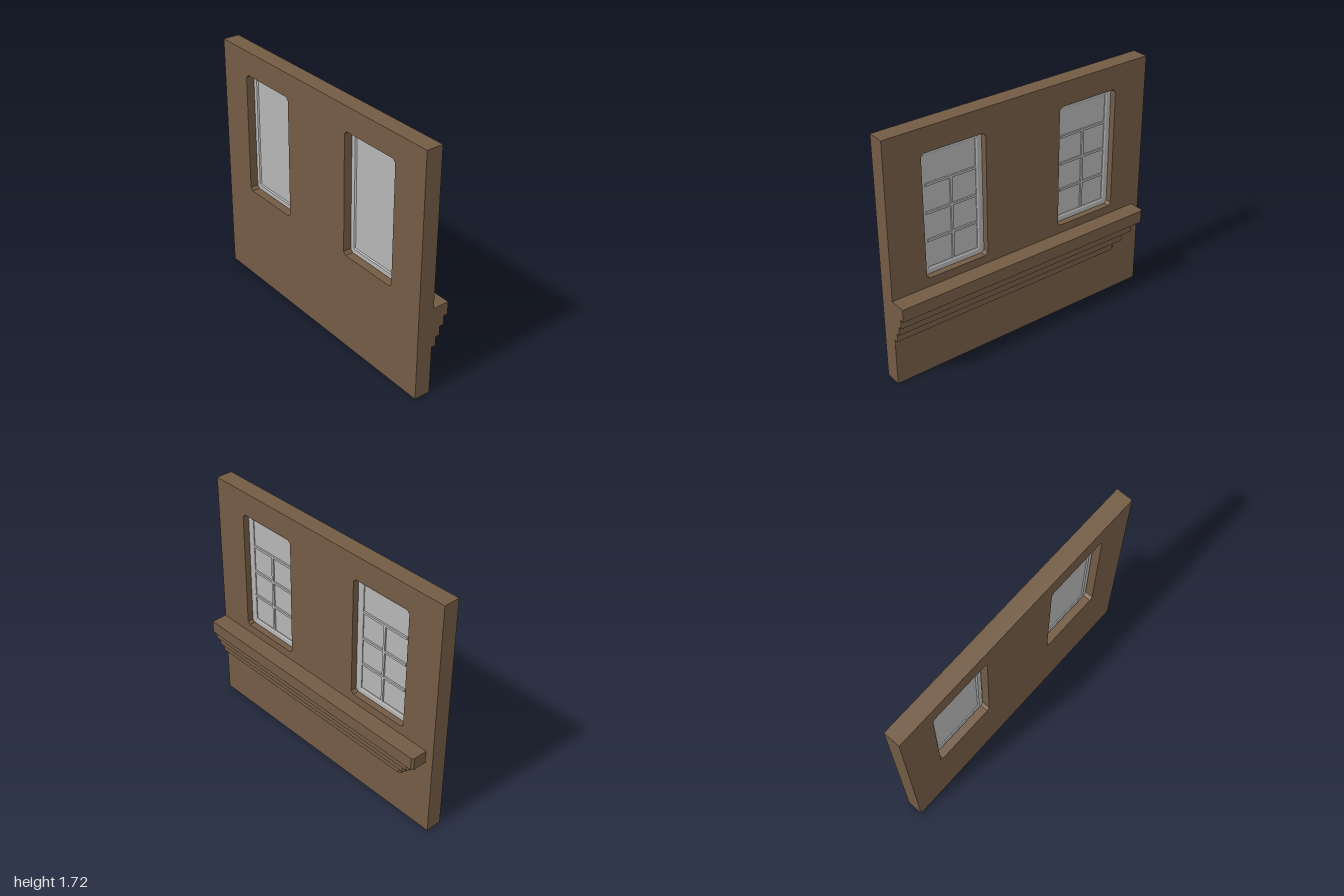
import * as THREE from 'three';

const brown = new THREE.MeshStandardMaterial({ color: 0x725b44 });
brown.name = 'brownWall';
const grey = new THREE.MeshStandardMaterial({ color: 0xb5b5b5 });
grey.name = 'greyWindow';

const DEPTH = 0.115;
const WIN = { x: 0.515, y: 1.12, hw: 0.23, hh: 0.43, chamfer: 0.02 };

// Corners of a chamfered rectangle, counter-clockwise
function chamferedRect(hw, hh, c) {
  return [
    [hw, -hh + c], [hw, hh - c], [hw - c, hh], [-hw + c, hh],
    [-hw, hh - c], [-hw, -hh + c], [-hw + c, -hh], [hw - c, -hh],
  ];
}

function addMesh(parent, name, geometry, material) {
  const mesh = new THREE.Mesh(geometry, material);
  mesh.name = name;
  parent.add(mesh);
  return mesh;
}

function addBox(parent, name, w, h, d, x, y, z) {
  addMesh(parent, name, new THREE.BoxGeometry(w, h, d), grey).position.set(x, y, z);
}

// Rectangular ring swept from a closed profile of [inset, z, corner chamfer]
function ringGeometry(hw, hh, profile) {
  const loops = profile.map(([inset, z, c]) =>
    chamferedRect(hw - inset, hh - inset, c).map(([x, y]) => [x, y, z]));
  const pos = [];
  for (let k = 0; k < loops.length; k++) {
    const p = loops[k], q = loops[(k + 1) % loops.length];
    for (let j = 0; j < 8; j++) {
      const n = (j + 1) % 8;
      pos.push(...p[j], ...p[n], ...q[n], ...p[j], ...q[n], ...q[j]);
    }
  }
  const geo = new THREE.BufferGeometry();
  geo.setAttribute('position', new THREE.Float32BufferAttribute(pos, 3));
  geo.computeVertexNormals();
  return geo;
}

function createWindow(name) {
  const g = new THREE.Group();
  g.name = name;
  const { hw, hh, chamfer } = WIN;
  // Outer frame with a sloped inner lip
  addMesh(g, 'windowFrame', ringGeometry(hw, hh, [
    [0, 0.044, chamfer], [0, 0.058, chamfer], [0.006, 0.062, chamfer],
    [0.036, 0.062, 0.001], [0.046, 0.053, 0.001],
    [0.046, 0.046, 0.001], [0.036, 0.04, 0.001], [0.006, 0.04, chamfer],
  ]), grey);
  // Pane
  const w = 2 * (hw - 0.045), h = 2 * (hh - 0.045);
  addBox(g, 'windowPane', w, h, 0.004, 0, 0, 0.053);
  // Glazing bars on the back: tall top light above a two by three grid
  const row = h / 4;
  for (const i of [-1, 0, 1]) {
    addBox(g, 'crossBar', w, 0.016, 0.012, 0, i * row, 0.046);
  }
  addBox(g, 'uprightBar', 0.016, 3 * row, 0.011, 0, -row / 2, 0.046);
  return g;
}

export function createModel() {
  const model = new THREE.Group();
  model.name = 'wallSection';

  // Wall with two window openings
  const wall = new THREE.Shape([[-1, 0], [1, 0], [1, 1.715], [-1, 1.715]]
    .map(([x, y]) => new THREE.Vector2(x, y)));
  for (const s of [-1, 1]) {
    wall.holes.push(new THREE.Path(chamferedRect(WIN.hw, WIN.hh, WIN.chamfer)
      .reverse().map(([x, y]) => new THREE.Vector2(x + s * WIN.x, y + WIN.y))));
  }
  addMesh(model, 'wall',
    new THREE.ExtrudeGeometry(wall, { depth: DEPTH, bevelEnabled: false }), brown);

  // Windows
  for (const s of [-1, 1]) {
    const win = createWindow(s > 0 ? 'leftWindow' : 'rightWindow');
    win.position.set(s * WIN.x, WIN.y, 0);
    model.add(win);
  }

  // Stepped ledge on the back: [bottom, top, projection, end x]
  const ledge = new THREE.Group();
  ledge.name = 'ledge';
  const steps = [
    [0.345, 0.41, 0.03, -0.767],
    [0.41, 0.475, 0.058, -0.823],
    [0.475, 0.54, 0.086, -0.88],
    [0.54, 0.63, DEPTH, -0.943],
  ];
  for (const [y0, y1, d, x] of steps) {
    const c = 0.014;
    const shape = new THREE.Shape([[x, 0], [1, 0], [1, d], [x + c, d], [x, d - c]]
      .map(([a, b]) => new THREE.Vector2(a, b)));
    const geo = new THREE.ExtrudeGeometry(shape, { depth: y1 - y0, bevelEnabled: false });
    geo.rotateX(-Math.PI / 2);
    addMesh(ledge, 'ledgeStep', geo, brown).position.y = y0;
  }
  model.add(ledge);
  return model;
}
